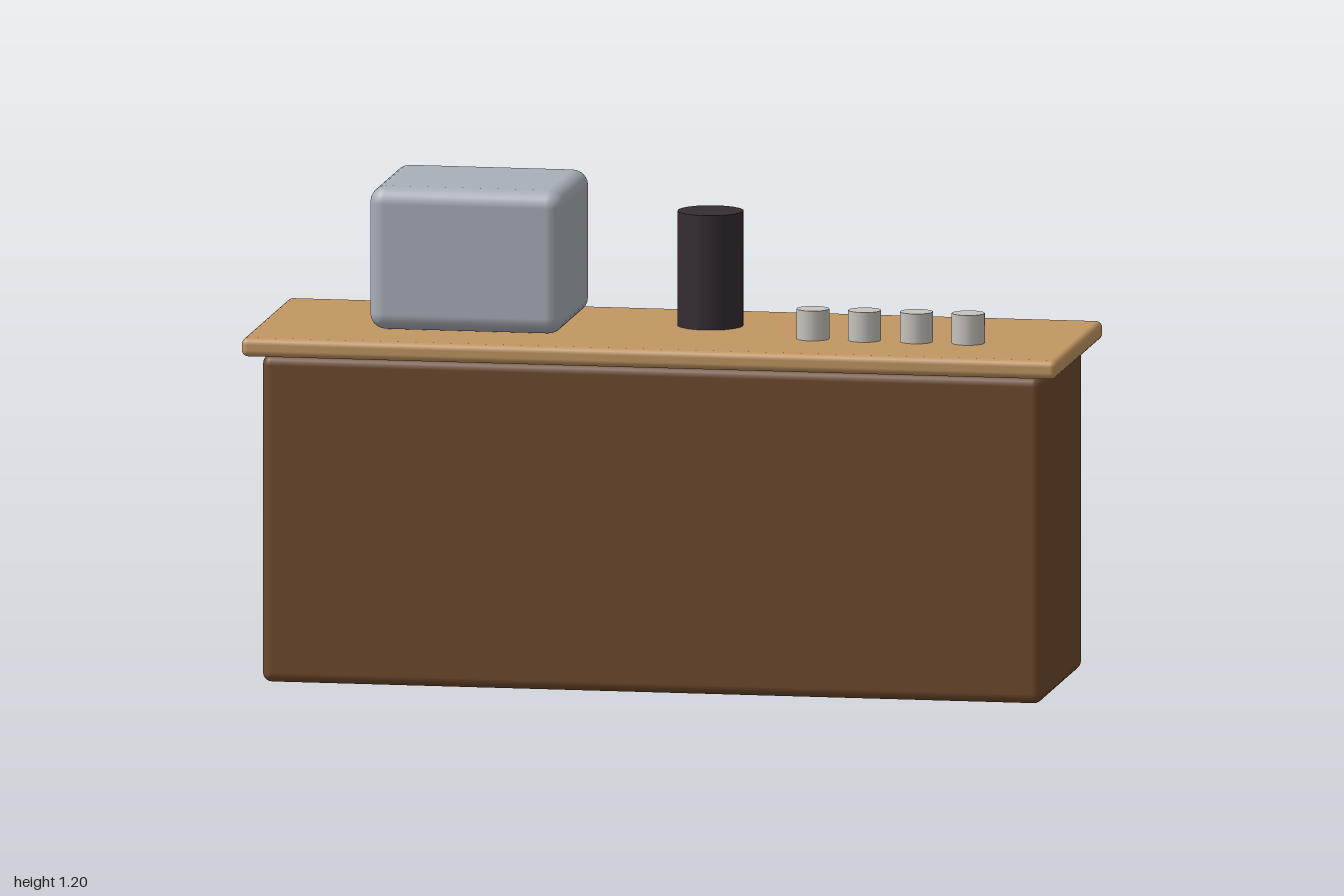
import * as THREE from 'three';
import { RoundedBoxGeometry } from 'three/addons/geometries/RoundedBoxGeometry.js';

const material = (name, color) => {
  const m = new THREE.MeshStandardMaterial({ color });
  m.name = name;
  return m;
};

export function createModel() {
  const group = new THREE.Group();
  group.name = 'coffeeCounter';

  const darkWood = material('darkWood', 0x6f4a2d);
  const lightWood = material('lightWood', 0xc29763);
  const steel = material('steel', 0xa8b0b8);
  const charcoal = material('charcoal', 0x352c34);
  const ceramic = material('ceramic', 0xc8c4be);

  const add = (name, geometry, mat, x, y, z) => {
    const mesh = new THREE.Mesh(geometry, mat);
    mesh.name = name;
    mesh.position.set(x, y, z);
    group.add(mesh);
  };

  // Counter body and overhanging worktop
  add('counterBody', new RoundedBoxGeometry(1.914, 0.8, 0.56, 3, 0.024), darkWood, 0, 0.402, 0);
  add('worktop', new RoundedBoxGeometry(2, 0.046, 0.64, 3, 0.016), lightWood, 0, 0.826, 0);

  // Machine and grinder standing on the worktop
  add('machine', new RoundedBoxGeometry(0.476, 0.35, 0.4, 3, 0.04), steel, -0.48, 1.025, -0.04);
  add('grinder', new THREE.CylinderGeometry(0.08, 0.08, 0.28, 20), charcoal, 0.08, 0.989, -0.08);

  // Row of cups
  const cup = new THREE.CylinderGeometry(0.04, 0.04, 0.073, 14);
  for (let i = 0; i < 4; i++) add(`cup${i + 1}`, cup, ceramic, 0.36 + i * 0.127, 0.886, 0.08);

  return group;
}
